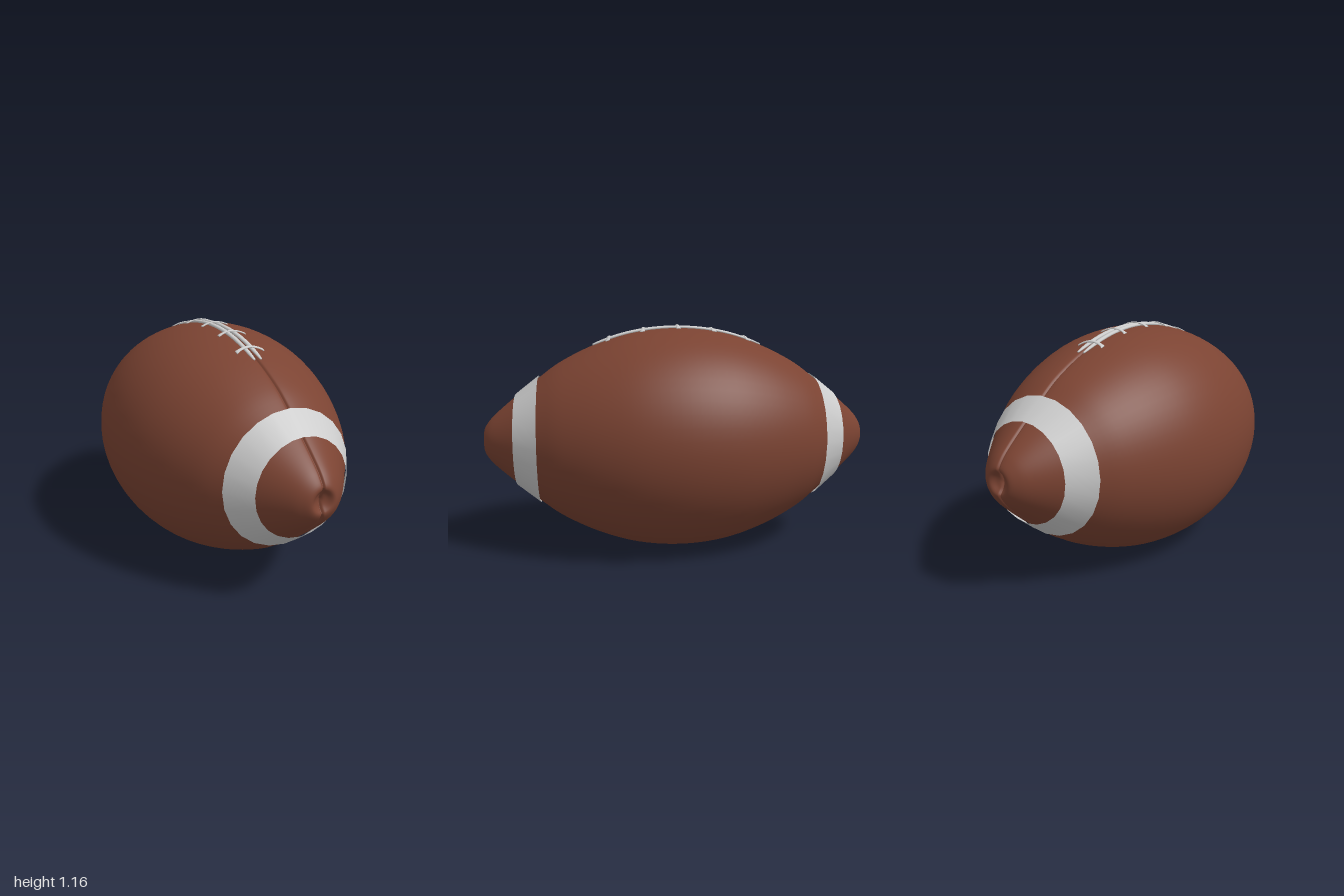
import * as THREE from 'three';
import { mergeVertices } from 'three/addons/utils/BufferGeometryUtils.js';

const CENTER_Y = 0.574;

// Half profile (radius, distance along the long axis), from dimpled tip to middle
const HALF = [
  [0, 0.972], [0.03, 0.982], [0.06, 1.0], [0.1, 0.978], [0.145, 0.935], [0.225, 0.84],
  [0.32, 0.72], [0.405, 0.6], [0.492, 0.42], [0.552, 0.22], [0.573, 0],
];
const outline = new THREE.SplineCurve([
  ...HALF.map(([r, z]) => new THREE.Vector2(r, -z)),
  ...HALF.slice(0, -1).reverse().map(([r, z]) => new THREE.Vector2(r, z)),
]);
const profile = outline.getPoints(96);

// Body radius at z, valid for the laced middle stretch
function radiusAt(z) {
  const i = profile.findIndex((p, k) => k > 8 && p.y >= z);
  const a = profile[i - 1], b = profile[i];
  return THREE.MathUtils.mapLinear(z, a.y, b.y, a.x, b.x);
}

// Moves every vertex of a geometry by a rule
function reshape(geo, rule) {
  const pos = geo.attributes.position, v = new THREE.Vector3();
  for (let i = 0; i < pos.count; i++) {
    rule(v.fromBufferAttribute(pos, i), i);
    pos.setXYZ(i, v.x, v.y, v.z);
  }
  return geo;
}

function weld(geo) {
  geo.deleteAttribute('uv');
  geo.deleteAttribute('normal');
  const welded = mergeVertices(geo, 1e-5);
  welded.computeVertexNormals();
  return welded;
}

// Lathed hull with rows crowded around x = 0, where a seam groove is pressed in
function bodyGeometry() {
  let geo = new THREE.LatheGeometry(profile, 112);
  reshape(geo, (v) => {
    const r = Math.hypot(v.x, v.z), a = Math.atan2(v.x, v.z);
    const b = a - 0.49 * Math.sin(2 * a);
    v.x = r * Math.sin(b);
    v.z = r * Math.cos(b);
  });
  geo.rotateX(Math.PI / 2);
  geo = weld(geo);
  const n = geo.attributes.normal;
  reshape(geo, (v, i) => {
    const depth = 0.009 * Math.exp(-((v.x / 0.006) ** 2)) + 0.003 * Math.exp(-((v.x / 0.025) ** 2));
    v.y -= n.getY(i) * depth;
    v.z -= n.getZ(i) * depth;
  });
  geo.computeVertexNormals();
  return geo;
}

// Long flat lace following the top of the body, narrowing at both ends
function longLace(x0) {
  const geo = new THREE.CylinderGeometry(1, 1, 1, 10, 40).rotateX(Math.PI / 2);
  reshape(geo, (v) => {
    const t = 2 * v.z, taper = 1 - 0.55 * Math.abs(t) ** 8;
    v.z = 0.44 * t;
    v.x = x0 + v.x * 0.0125 * taper;
    v.y = radiusAt(v.z) + 0.003 + v.y * 0.009 * taper;
  });
  return weld(geo);
}

// Short arched lace crossing the seam, flaring slightly near its ends
function crossLace(z0) {
  const geo = new THREE.CylinderGeometry(1, 1, 1, 8, 20).rotateZ(Math.PI / 2);
  const slope = (radiusAt(z0 + 0.02) - radiusAt(z0 - 0.02)) / 0.04;
  reshape(geo, (v) => {
    const t = 2 * v.x, flare = 0.008 + 0.005 * Math.abs(t) ** 5;
    const dz = v.z * flare;
    v.x = 0.072 * t;
    v.z = z0 + dz + 0.008 * Math.sign(z0) * t * t;
    v.y = radiusAt(z0) + 0.014 - 0.017 * t * t + slope * (v.z - z0) + v.y * 0.004;
  });
  return weld(geo);
}

export function createModel() {
  const leather = new THREE.MeshStandardMaterial({ color: 0x7b4332 });
  const grey = new THREE.MeshStandardMaterial({ color: 0xcccccc });
  const greyOpen = new THREE.MeshStandardMaterial({ color: 0xcccccc, side: THREE.DoubleSide });

  const ball = new THREE.Group();
  ball.name = 'ball';
  ball.position.y = CENTER_Y;
  const add = (name, geo, mat) => {
    const mesh = new THREE.Mesh(geo, mat);
    mesh.name = name;
    ball.add(mesh);
    return mesh;
  };

  add('body', bodyGeometry(), leather);

  // Conical stripes near each tip
  for (const side of [1, -1]) {
    const band = new THREE.CylinderGeometry(0.236, 0.33, 0.12, 24, 1, true);
    band.translate(0, 0.78, 0).rotateX(side * Math.PI / 2);
    add(side > 0 ? 'frontStripe' : 'backStripe', band, greyOpen);
  }

  // Lacing
  for (const side of [1, -1]) add(side > 0 ? 'leftLongLace' : 'rightLongLace', longLace(side * 0.0175), grey);
  for (let i = -2; i <= 2; i++) add('crossLace' + (i + 3), crossLace(i * 0.178), grey);

  const model = new THREE.Group();
  model.add(ball);
  return model;
}
